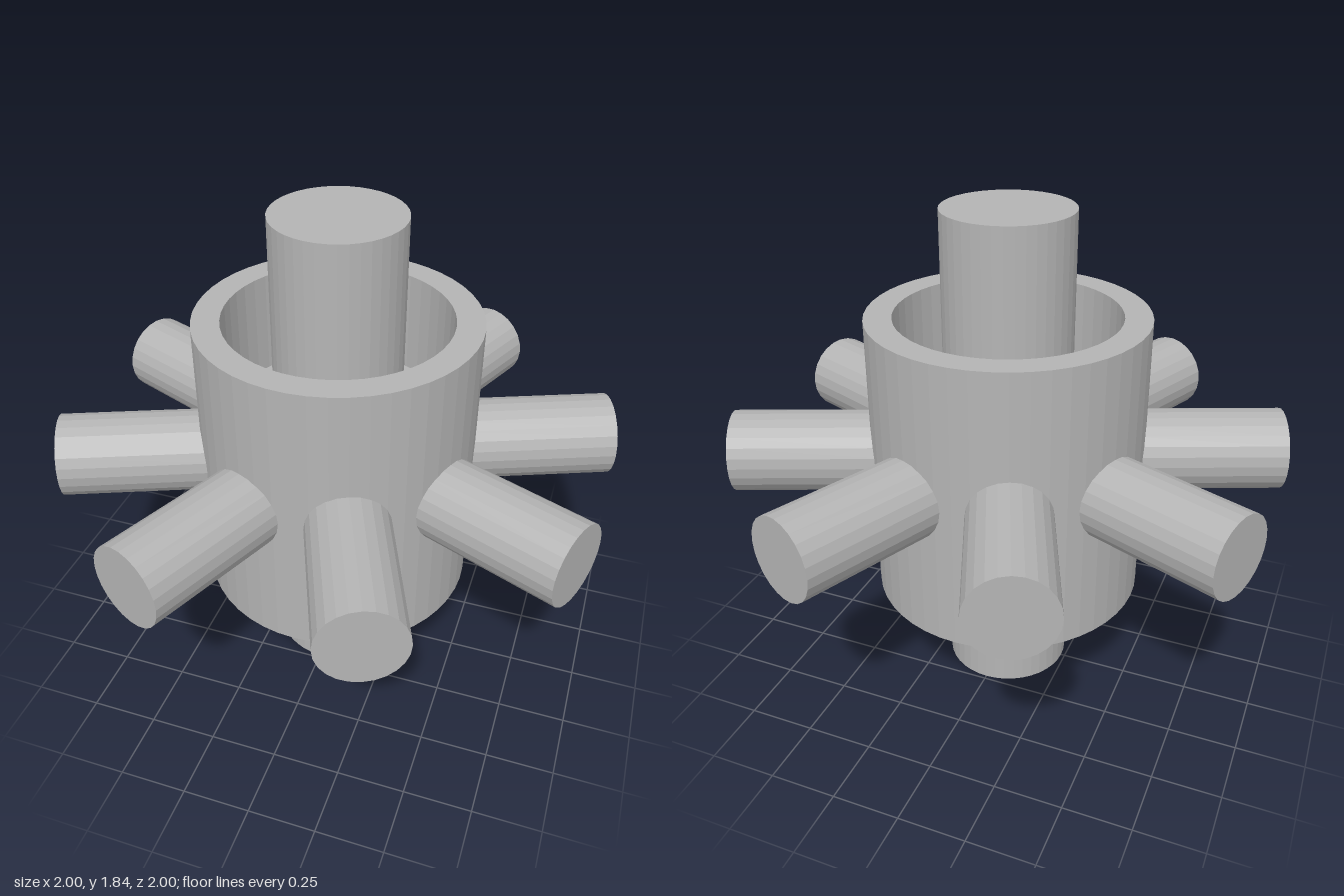
import * as THREE from 'three';

const SPOKES = 8;
const MID_Y = 0.92;
const SPOKE_R = 0.151;

export function createModel() {
  const model = new THREE.Group();
  const grey = new THREE.MeshStandardMaterial({ color: 0xb4b4b4, flatShading: true });
  grey.name = 'plain grey';

  const add = (name, geometry, parent = model) => {
    const mesh = new THREE.Mesh(geometry, grey);
    mesh.name = name;
    parent.add(mesh);
    return mesh;
  };

  // Central shaft running the full height
  add('shaft', new THREE.CylinderGeometry(0.235, 0.235, 1.835, 40)).position.y = 1.835 / 2;

  // Thick-walled hub, hollow above and below a central web that meets the shaft
  const profile = [
    [0.235, 0.77], [0.408, 0.77], [0.408, 0.38], [0.508, 0.38],
    [0.508, 1.46], [0.408, 1.46], [0.408, 1.07], [0.235, 1.07],
  ].map(([r, y]) => new THREE.Vector2(r, y));
  add('hub', new THREE.LatheGeometry(profile, 48));

  // Round spokes radiating from the hub, offset half a step from the axes
  const spokes = new THREE.Group();
  spokes.name = 'spokes';
  model.add(spokes);
  const inner = 0.44, outer = 1.02;
  const spokeGeometry = new THREE.CylinderGeometry(SPOKE_R, SPOKE_R, outer - inner, 24);
  spokeGeometry.rotateZ(-Math.PI / 2).translate((inner + outer) / 2, MID_Y, 0);
  for (let i = 0; i < SPOKES; i++) {
    const spoke = add('spoke', spokeGeometry, spokes);
    spoke.rotation.y = ((i + 0.5) / SPOKES) * Math.PI * 2;
  }

  return model;
}
